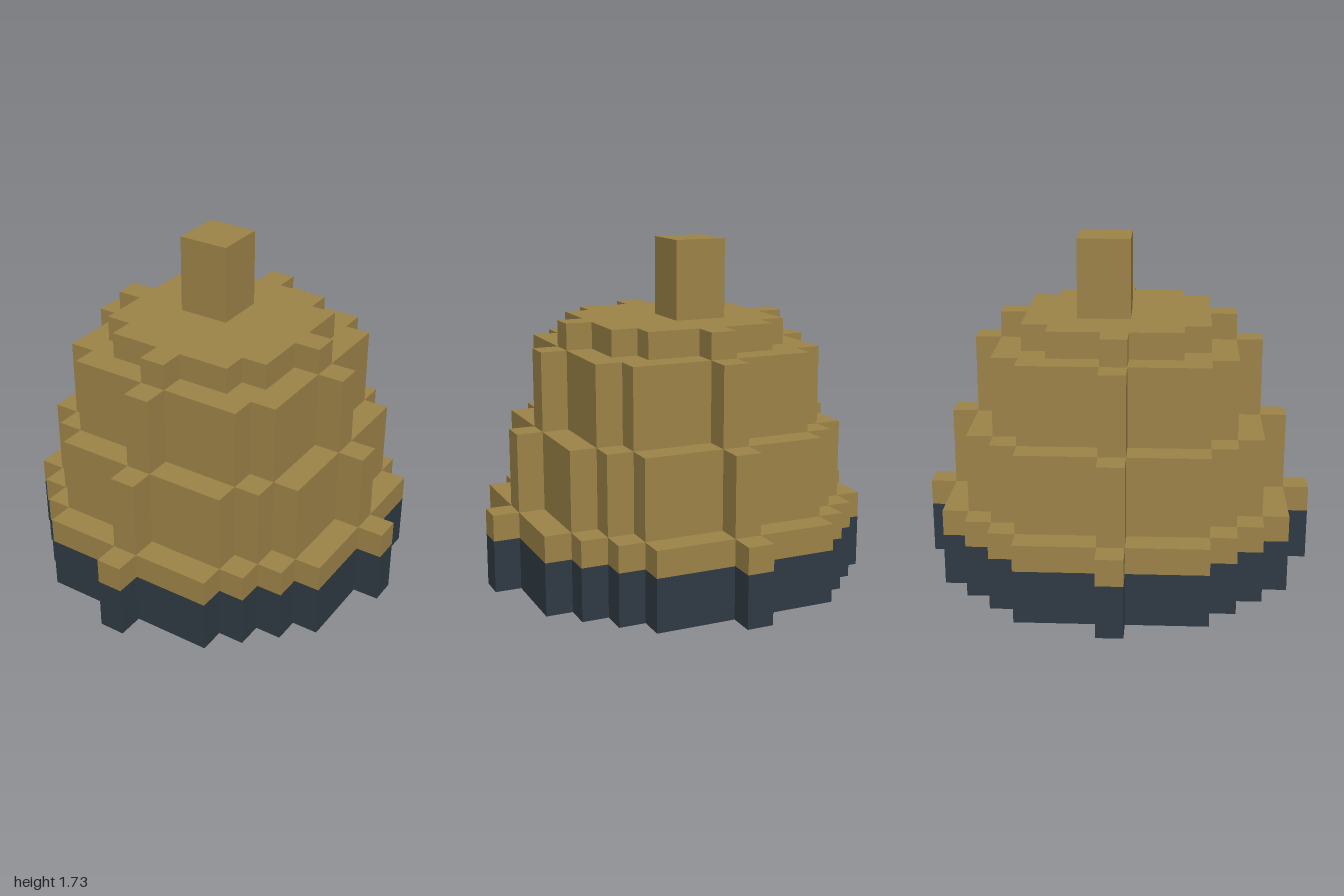
import * as THREE from 'three';

const U = 2 / 15; // edge of one block

// Stepped outline of a disc of blocks with the given block radius
function discShape(r) {
  const half = (row) => Math.floor(Math.sqrt(r * r - row * row)) + 0.5;
  const right = [];
  for (let row = -r; row <= r; row++) {
    const w = half(row);
    // add corners only where the width changes
    if (row === -r || half(row - 1) !== w) right.push([w, row - 0.5]);
    if (row === r || half(row + 1) !== w) right.push([w, row + 0.5]);
  }
  const left = right.map(([x, y]) => [-x, y]).reverse();
  return new THREE.Shape([...right, ...left].map(([x, y]) => new THREE.Vector2(x * U, y * U)));
}

export function createModel() {
  const group = new THREE.Group();
  const tan = new THREE.MeshStandardMaterial({ color: 0x9d8348, flatShading: true });
  const slate = new THREE.MeshStandardMaterial({ color: 0x303a44, flatShading: true });

  // Stacked tiers: name, block radius, bottom and top in blocks, material
  const tiers = [
    ['base', 7, 0, 2, slate],
    ['rim', 7, 2, 3, tan],
    ['lowerTier', 6, 3, 6, tan],
    ['upperTier', 5, 6, 9, tan],
    ['cap', 4, 9, 10, tan],
  ];
  for (const [name, radius, bottom, top, material] of tiers) {
    const geometry = new THREE.ExtrudeGeometry(discShape(radius), {
      depth: (top - bottom) * U,
      bevelEnabled: false,
    });
    geometry.rotateX(-Math.PI / 2);
    const mesh = new THREE.Mesh(geometry, material);
    mesh.name = name;
    mesh.position.y = bottom * U;
    group.add(mesh);
  }

  // Square post, half a block off centre
  const post = new THREE.Mesh(new THREE.BoxGeometry(2 * U, 3 * U, 2 * U), tan);
  post.name = 'topPost';
  post.position.set(-0.5 * U, 11.5 * U, -0.5 * U);
  group.add(post);

  return group;
}
